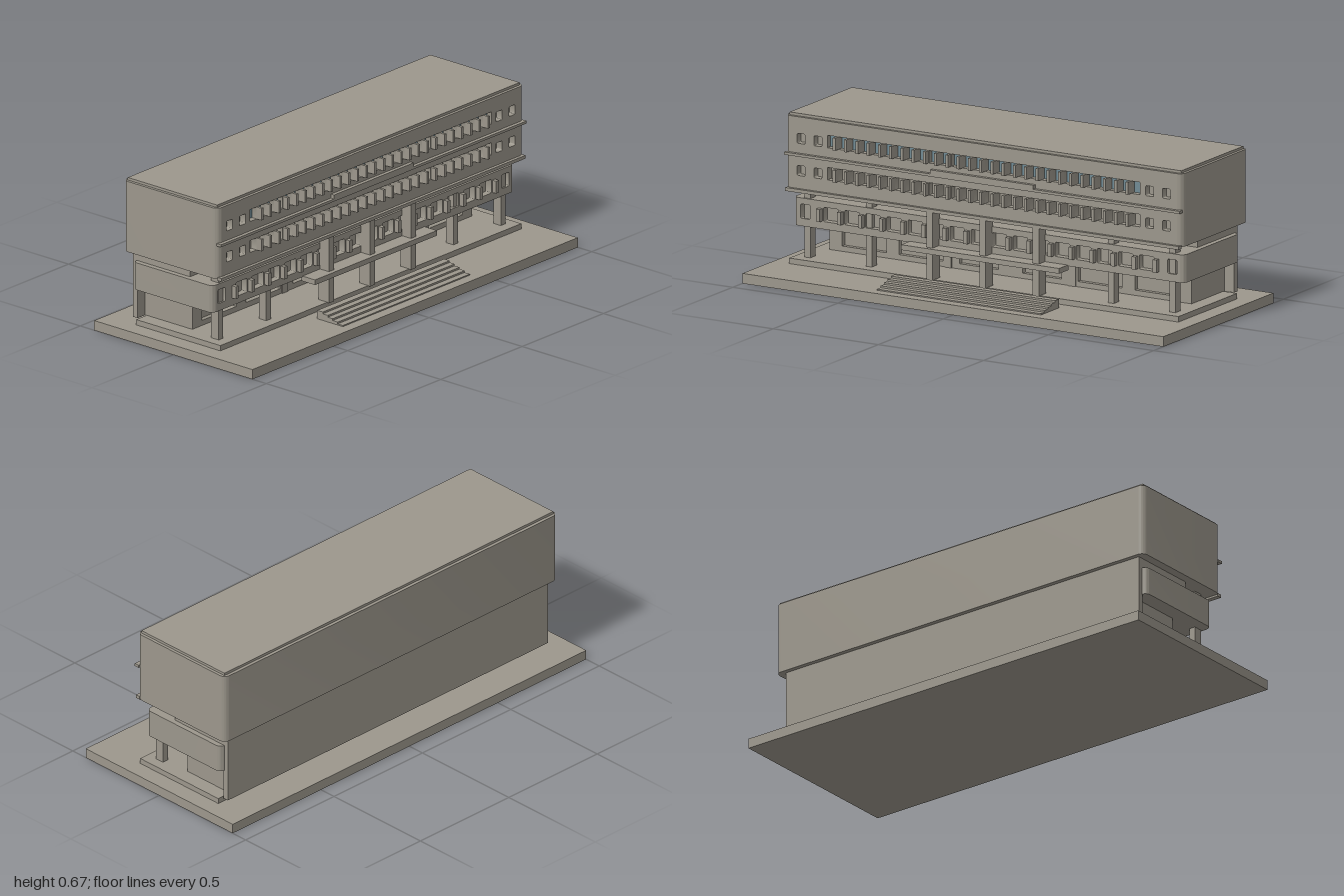
import * as THREE from 'three';
import { toCreasedNormals } from 'three/addons/utils/BufferGeometryUtils.js';

const concrete = new THREE.MeshStandardMaterial({ color: 0x9c978c });
concrete.name = 'concrete';
const glass = new THREE.MeshStandardMaterial({ color: 0x718b95 });
glass.name = 'blue glass';

// Box given by its limits on each axis
function box(parent, name, x0, x1, y0, y1, z0, z1, material = concrete) {
  const mesh = new THREE.Mesh(new THREE.BoxGeometry(x1 - x0, y1 - y0, z1 - z0), material);
  mesh.position.set((x0 + x1) / 2, (y0 + y1) / 2, (z0 + z1) / 2);
  mesh.name = name;
  parent.add(mesh);
  return mesh;
}

// Closed rounded rectangle path, used for window openings
function roundedHole(cx, cy, w, h, r) {
  const p = new THREE.Path();
  const x = w / 2, y = h / 2;
  p.absarc(cx + x - r, cy + y - r, r, 0, Math.PI / 2);
  p.absarc(cx - x + r, cy + y - r, r, Math.PI / 2, Math.PI);
  p.absarc(cx - x + r, cy - y + r, r, Math.PI, Math.PI * 1.5);
  p.absarc(cx + x - r, cy - y + r, r, Math.PI * 1.5, Math.PI * 2);
  p.closePath();
  return p;
}

// Storey with rounded vertical corners; a pocket in its front holds a pierced facade
function storey(parent, name, hw, y0, y1, zBack, zFront, r, windows) {
  const f = -zFront, b = -zBack, d = 0.03, px = hw - r;
  const plan = new THREE.Shape();
  plan.moveTo(px, f);
  plan.absarc(hw - r, f + r, r, -Math.PI / 2, 0);
  plan.absarc(hw - r, b - r, r, 0, Math.PI / 2);
  plan.absarc(-hw + r, b - r, r, Math.PI / 2, Math.PI);
  plan.absarc(-hw + r, f + r, r, Math.PI, Math.PI * 1.5);
  plan.lineTo(-px, f + d);
  plan.lineTo(px, f + d);
  plan.closePath();
  const bodyGeo = new THREE.ExtrudeGeometry(plan, { depth: y1 - y0, bevelEnabled: false, curveSegments: 8 });
  bodyGeo.rotateX(-Math.PI / 2);
  const body = new THREE.Mesh(toCreasedNormals(bodyGeo, 0.6), concrete);
  body.position.y = y0;
  body.name = name + ' body';
  parent.add(body);
  facade(parent, name + ' facade', px, y0, y1, zFront, d, windows);
}

// Flat wall with window openings [cx, cy, width, height]
function facade(parent, name, hw, y0, y1, zFront, depth, windows) {
  const wall = new THREE.Shape();
  wall.moveTo(-hw, y0);
  wall.lineTo(hw, y0);
  wall.lineTo(hw, y1);
  wall.lineTo(-hw, y1);
  wall.closePath();
  for (const [cx, cy, w, h, r = 0.006] of windows) wall.holes.push(roundedHole(cx, cy, w, h, r));
  const geo = new THREE.ExtrudeGeometry(wall, { depth, bevelEnabled: false, curveSegments: 3 });
  const mesh = new THREE.Mesh(toCreasedNormals(geo, 0.6), concrete);
  mesh.position.z = zFront - depth;
  mesh.name = name;
  parent.add(mesh);
}

export function createModel() {
  const model = new THREE.Group();
  model.name = 'office building';

  // Ground slab and plinth
  box(model, 'groundSlab', -1, 1, 0, 0.042, -0.425, 0.425);
  box(model, 'plinth', -0.925, 0.925, 0.04, 0.065, -0.265, 0.187);

  // Entrance steps
  const steps = new THREE.Group();
  steps.name = 'entranceSteps';
  model.add(steps);
  [0.378, 0.35, 0.323, 0.297, 0.27].forEach((z, i) => {
    box(steps, 'step', -0.39, 0.39, 0.04, 0.047 + i * 0.0078, 0.24, z);
  });

  // Recessed ground floor with large windows and doors
  box(model, 'groundFloorCore', -0.86, 0.86, 0.063, 0.2, -0.29, -0.04);
  const groundWindows = [];
  for (const s of [-1, 1]) {
    for (const [cx, w] of [[0.15, 0.185], [0.425, 0.21], [0.695, 0.21]]) {
      groundWindows.push([s * cx, 0.135, w, 0.096, 0.001]);
    }
    box(model, 'entranceDoor', s * 0.295 - 0.016, s * 0.295 + 0.016, 0.065, 0.18, -0.021, -0.015);
  }
  facade(model, 'groundFloorFacade', 0.86, 0.063, 0.2, -0.02, 0.02, groundWindows);

  // Rear wall and the recessed band under the upper storeys
  box(model, 'rearWall', -0.905, 0.905, 0.063, 0.356, -0.3, -0.275);
  box(model, 'recessedBand', -0.905, 0.905, 0.31, 0.356, -0.299, 0.007);

  // Low storey with square windows and short fins
  const lowWindows = [];
  for (let i = 0; i < 18; i++) {
    const x = -0.85 + i * 0.1;
    const end = i === 0 || i === 17;
    lowWindows.push([end ? Math.sign(x) * 0.872 : x, 0.257, end ? 0.045 : 0.07, 0.06]);
  }
  storey(model, 'lowStorey', 0.928, 0.195, 0.312, -0.28, 0.148, 0.025, lowWindows);
  for (let i = -8; i <= 8; i++) {
    box(model, 'lowFin', i * 0.1 - 0.009, i * 0.1 + 0.009, 0.228, 0.281, 0.147, 0.169);
  }

  // Columns: outer ones below the storey, central ones in front of it
  for (const x of [-0.867, -0.575, 0.575, 0.867]) {
    box(model, 'outerColumn', x - 0.014, x + 0.014, 0.063, 0.356, 0.1, 0.14);
  }
  for (const x of [-0.252, 0, 0.252]) {
    box(model, 'centralColumn', x - 0.015, x + 0.015, 0.063, 0.356, 0.14, 0.196);
  }
  box(model, 'entranceCanopy', -0.375, 0.375, 0.177, 0.199, 0.142, 0.215);

  // Upper storeys: two rows of windows, with small ones at the ends
  const upperWindows = [];
  const pitch = 0.0535;
  for (const y of [0.441, 0.575]) {
    for (let i = 0; i < 28; i++) {
      upperWindows.push([(i - 13.5) * pitch, y, 0.041, 0.052, 0.001]);
    }
    for (const x of [-0.868, -0.788, 0.788, 0.868]) {
      upperWindows.push([x, y - 0.005, 0.038, 0.042]);
    }
    for (let i = -13; i <= 13; i++) {
      box(model, 'sunFin', i * pitch - 0.006, i * pitch + 0.006, y - 0.026, y + 0.026, 0.186, 0.213);
    }
  }
  storey(model, 'upperStoreys', 0.943, 0.355, 0.66, -0.32, 0.187, 0.028, upperWindows);
  box(model, 'topRowGlass', -0.745, 0.745, 0.545, 0.605, 0.156, 0.162, glass);

  // Ledges across the front and the roof slab
  box(model, 'middleLedge', -0.94, 0.94, 0.498, 0.509, 0.18, 0.203);
  box(model, 'raisedLedge', -0.245, 0.245, 0.507, 0.526, 0.18, 0.203);
  box(model, 'lowerLedge', -0.935, 0.935, 0.347, 0.361, 0.18, 0.201);
  box(model, 'roofSlab', -0.93, 0.93, 0.655, 0.671, -0.306, 0.174);

  return model;
}
